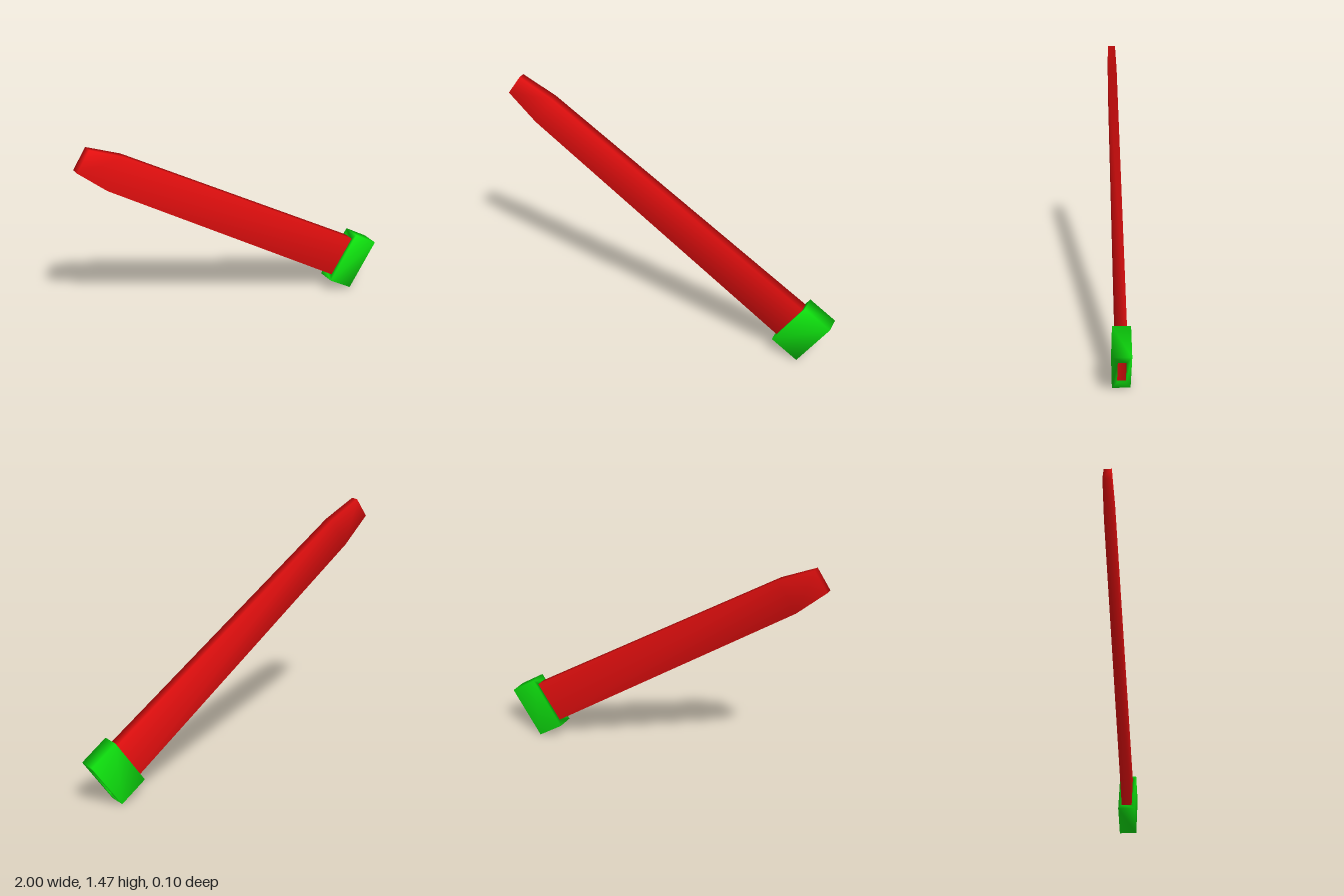
import * as THREE from 'three';

// Skin through rectangular rings [along, halfWidth, halfDepth]; sides face outward
// while the path climbs and inward while it descends. Corners share smooth normals.
function skin(rings, closed) {
  const corners = [[1, 1], [1, -1], [-1, -1], [-1, 1]];
  const pos = [], idx = [];
  for (const [s, w, d] of rings)
    for (const [cx, cz] of corners) pos.push(cx * w, s, cz * d);
  const n = rings.length;
  for (let r = 0; r < (closed ? n : n - 1); r++) {
    const lo = r * 4, hi = ((r + 1) % n) * 4;
    for (let i = 0; i < 4; i++) {
      const j = (i + 1) % 4;
      idx.push(lo + i, lo + j, hi + i, lo + j, hi + j, hi + i);
    }
  }
  if (!closed) {
    const e = (n - 1) * 4;
    idx.push(0, 2, 1, 0, 3, 2, e, e + 1, e + 2, e, e + 2, e + 3);
  }
  const geo = new THREE.BufferGeometry();
  geo.setAttribute('position', new THREE.Float32BufferAttribute(pos, 3));
  geo.setIndex(idx);
  geo.computeVertexNormals();
  return geo;
}

export function createModel() {
  const red = new THREE.MeshStandardMaterial({ color: 0xe60f0f });
  red.name = 'red';
  const green = new THREE.MeshStandardMaterial({ color: 0x0fe60f });
  green.name = 'green';

  // Hollow tapered sheath: inner pocket, mouth rim, outer body, pointed tip
  const sheath = new THREE.Mesh(skin([
    [1.95, 0.08, 0.017],
    [-0.08, 0.106, 0.023],
    [-0.08, 0.131, 0.0305],
    [1.95, 0.101, 0.0255],
    [2.172, 0.068, 0.022],
  ], false), red);
  sheath.name = 'sheath';

  // Thick collar round the mouth, with a slot through its end
  const collar = new THREE.Mesh(skin([
    [-0.0935, 0.1635, 0.05],
    [0.0935, 0.1635, 0.05],
    [0.0935, 0.125, 0.028],
    [-0.0935, 0.107, 0.0235],
  ], true), green);
  collar.name = 'collar';

  // Lean the whole piece so the tip points up toward -x
  const scabbard = new THREE.Group();
  scabbard.name = 'scabbard';
  scabbard.add(sheath, collar);
  scabbard.rotation.z = THREE.MathUtils.degToRad(55.5);
  scabbard.position.set(0.83, 0.188, 0);

  const model = new THREE.Group();
  model.name = 'model';
  model.add(scabbard);
  return model;
}
